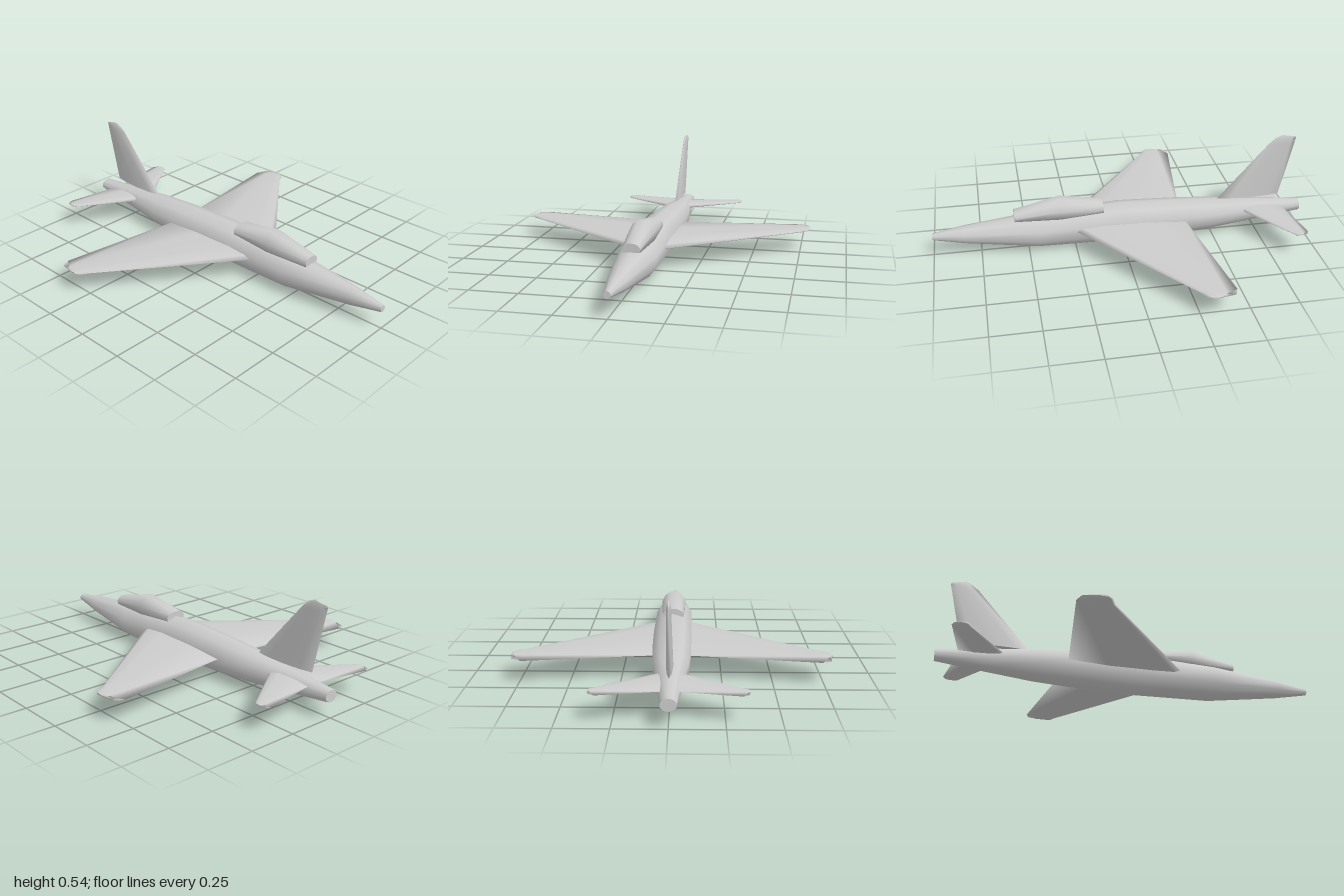
import * as THREE from 'three';
import { mergeVertices } from 'three/addons/utils/BufferGeometryUtils.js';

// Skin a list of equal-length closed rings with smooth sides and flat end caps
function loft(rings) {
  const n = rings[0].length, pos = rings.flat(2), index = [];
  for (let r = 0; r < rings.length - 1; r++) {
    for (let i = 0; i < n; i++) {
      const a = r * n + i, b = r * n + (i + 1) % n;
      index.push(a, b, a + n, b, b + n, a + n);
    }
  }
  for (const end of [0, rings.length - 1]) {
    const start = pos.length / 3;
    pos.push(...rings[end].flat());
    for (let i = 1; i < n - 1; i++) {
      if (end === 0) index.push(start, start + i + 1, start + i);
      else index.push(start, start + i, start + i + 1);
    }
  }
  // Turn the faces outward whichever way the rings run
  const v = (i) => new THREE.Vector3().fromArray(pos, i * 3);
  const origin = v(0);
  let volume = 0;
  for (let i = 0; i < index.length; i += 3) {
    const [a, b, c] = [0, 1, 2].map((k) => v(index[i + k]).sub(origin));
    volume += a.dot(b.cross(c));
  }
  if (volume < 0) index.reverse();
  const geometry = new THREE.BufferGeometry();
  geometry.setAttribute('position', new THREE.Float32BufferAttribute(pos, 3));
  geometry.setIndex(index);
  geometry.computeVertexNormals();
  return mergeVertices(geometry);
}

// Aerofoil: [fraction of chord from the leading edge, fraction of half thickness]
const aerofoil = [[0, 0], [0.06, 0.65], [0.25, 1], [0.65, 0.75], [1, 0],
  [0.65, -0.55], [0.25, -0.6], [0.06, -0.45]];
const lens = [[0, 0], [0.2, 0.7], [0.5, 1], [0.8, 0.7], [1, 0],
  [0.8, -0.7], [0.5, -1], [0.2, -0.7]];

// Sections: [distance out, leading z, trailing z, half thickness, y]
function wingGeometry(sections, side) {
  return loft(sections.map(([x, front, back, t, y]) =>
    aerofoil.map(([u, v]) => [side * x, y + v * t, front + (back - front) * u])));
}

export function createModel() {
  const group = new THREE.Group();
  const material = new THREE.MeshStandardMaterial({ color: 0xcccccc });
  const add = (name, geometry) => {
    const mesh = new THREE.Mesh(geometry, material);
    mesh.name = name;
    group.add(mesh);
  };

  // Fuselage stations: [z, half width, bottom, top]
  const stations = [
    [1, 0.016, 0.097, 0.132], [0.83, 0.046, 0.065, 0.161], [0.45, 0.099, 0.016, 0.197],
    [0, 0.101, 0.005, 0.222], [-0.3, 0.097, 0.017, 0.208], [-0.5, 0.088, 0.029, 0.194],
    [-0.75, 0.057, 0.054, 0.171], [-1, 0.036, 0.084, 0.145]];
  add('fuselage', loft(stations.map(([z, w, lo, hi]) =>
    Array.from({ length: 10 }, (_, i) => {
      const a = (i / 10) * Math.PI * 2;
      return [w * Math.sin(a) / Math.sin(Math.PI * 0.4),
        (lo + hi) / 2 + Math.cos(a) * (hi - lo) / 2, z];
    }))));

  // Canopy stations: [z, half width, base, top]
  const canopyStations = [[0.57, 0.045, 0.183, 0.227], [0.33, 0.066, 0.185, 0.283],
    [0.1, 0.058, 0.195, 0.243]];
  const canopyProfile = [[-0.95, 0], [-1, 0.45], [-0.75, 0.8], [-0.35, 1],
    [0.35, 1], [0.75, 0.8], [1, 0.45], [0.95, 0]];
  add('canopy', loft(canopyStations.map(([z, w, lo, hi]) =>
    canopyProfile.map(([u, v]) => [u * w, lo + v * (hi - lo), z]))));

  // Swept wings and tailplanes with rounded tips
  const wing = [[0.04, 0.297, -0.333, 0.025, 0.122], [0.74, -0.252, -0.43, 0.014, 0.118],
    [0.785, -0.275, -0.412, 0.011, 0.12], [0.8, -0.298, -0.335, 0.005, 0.122]];
  const tailplane = [[0.01, -0.63, -0.885, 0.017, 0.135], [0.325, -0.845, -0.94, 0.009, 0.134],
    [0.35, -0.862, -0.928, 0.008, 0.135], [0.357, -0.878, -0.9, 0.004, 0.136]];
  for (const [label, side] of [['left', 1], ['right', -1]]) {
    add(label + 'Wing', wingGeometry(wing, side));
    add(label + 'Tailplane', wingGeometry(tailplane, side));
  }

  // Upright fin: [y at front, y at back, leading z, trailing z, half thickness]
  const fin = [[0.192, 0.192, -0.535, -0.88, 0.017], [0.5, 0.5, -0.806, -0.949, 0.011],
    [0.53, 0.522, -0.84, -0.954, 0.009], [0.544, 0.53, -0.875, -0.95, 0.004]];
  add('fin', loft(fin.map(([y0, y1, front, back, t]) =>
    lens.map(([u, v]) => [v * t, y0 + (y1 - y0) * u, front + (back - front) * u]))));

  return group;
}
